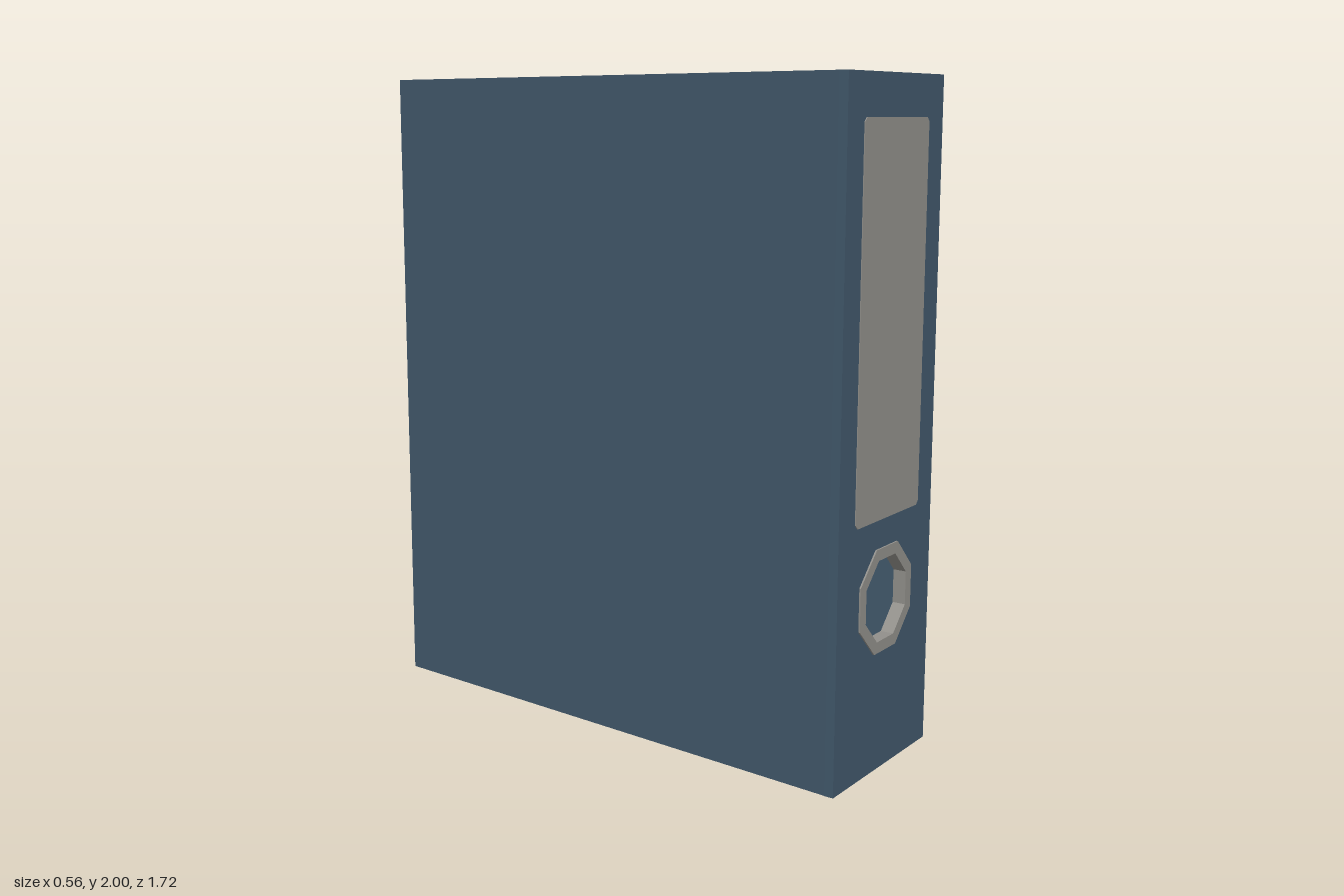
import * as THREE from 'three';

const HEIGHT = 2, HOLE_Y = 0.515;

// Regular octagon with flat sides up and down, sized by its half width
function octagon(apothem) {
  const r = apothem / Math.cos(Math.PI / 8);
  return Array.from({ length: 8 }, (_, i) => {
    const a = Math.PI / 8 + i * Math.PI / 4;
    return new THREE.Vector2(r * Math.cos(a), HOLE_Y + r * Math.sin(a));
  });
}

// Flat outline, optionally with a hole, given thickness from z0 to z1
function plate(points, z0, z1, hole) {
  const shape = new THREE.Shape(points);
  if (hole) shape.holes.push(new THREE.Path(hole));
  return new THREE.ExtrudeGeometry(shape, { depth: z1 - z0, bevelEnabled: false }).translate(0, 0, z0);
}

// Rectangle with clipped corners
function clippedRect(w, y0, y1, c) {
  return [[w - c, y0], [w, y0 + c], [w, y1 - c], [w - c, y1],
    [c - w, y1], [-w, y1 - c], [-w, y0 + c], [c - w, y0]].map(p => new THREE.Vector2(...p));
}

export function createModel() {
  const model = new THREE.Group();
  model.name = 'ringBinder';
  const blue = new THREE.MeshStandardMaterial({ color: 0x41586b });
  blue.name = 'blue board';
  const grey = new THREE.MeshStandardMaterial({ color: 0x918f8a });
  grey.name = 'warm grey';

  const add = (name, geometry, material) => {
    const mesh = new THREE.Mesh(geometry, material);
    mesh.name = name;
    model.add(mesh);
  };

  // Spine with the finger hole
  const W = 0.281;
  const spine = [[-W, 0], [W, 0], [W, HEIGHT], [-W, HEIGHT]].map(p => new THREE.Vector2(...p));
  add('spine', plate(spine, 0.83, 0.857, octagon(0.14)), blue);

  // Covers lean together towards the open back
  for (const [name, s] of [['leftCover', 1], ['rightCover', -1]]) {
    const plan = [[0.28, 0.83], [0.173, -0.86], [0.131, -0.86], [0.252, 0.83]]
      .map(([x, z]) => new THREE.Vector2(s * x, -z));
    add(name, plate(plan, 0, HEIGHT).rotateX(-Math.PI / 2), blue);
  }

  // Label on the spine
  add('label', plate(clippedRect(0.19, 0.755, 1.88, 0.012), 0.857, 0.86), grey);

  // Finger ring: lining through the hole with a flange on each side
  add('ringLining', plate(octagon(0.14), 0.825, 0.861, octagon(0.121)), grey);
  add('ringFrontFlange', plate(octagon(0.155), 0.857, 0.862, octagon(0.121)), grey);
  add('ringBackFlange', plate(octagon(0.155), 0.822, 0.83, octagon(0.121)), grey);

  return model;
}
